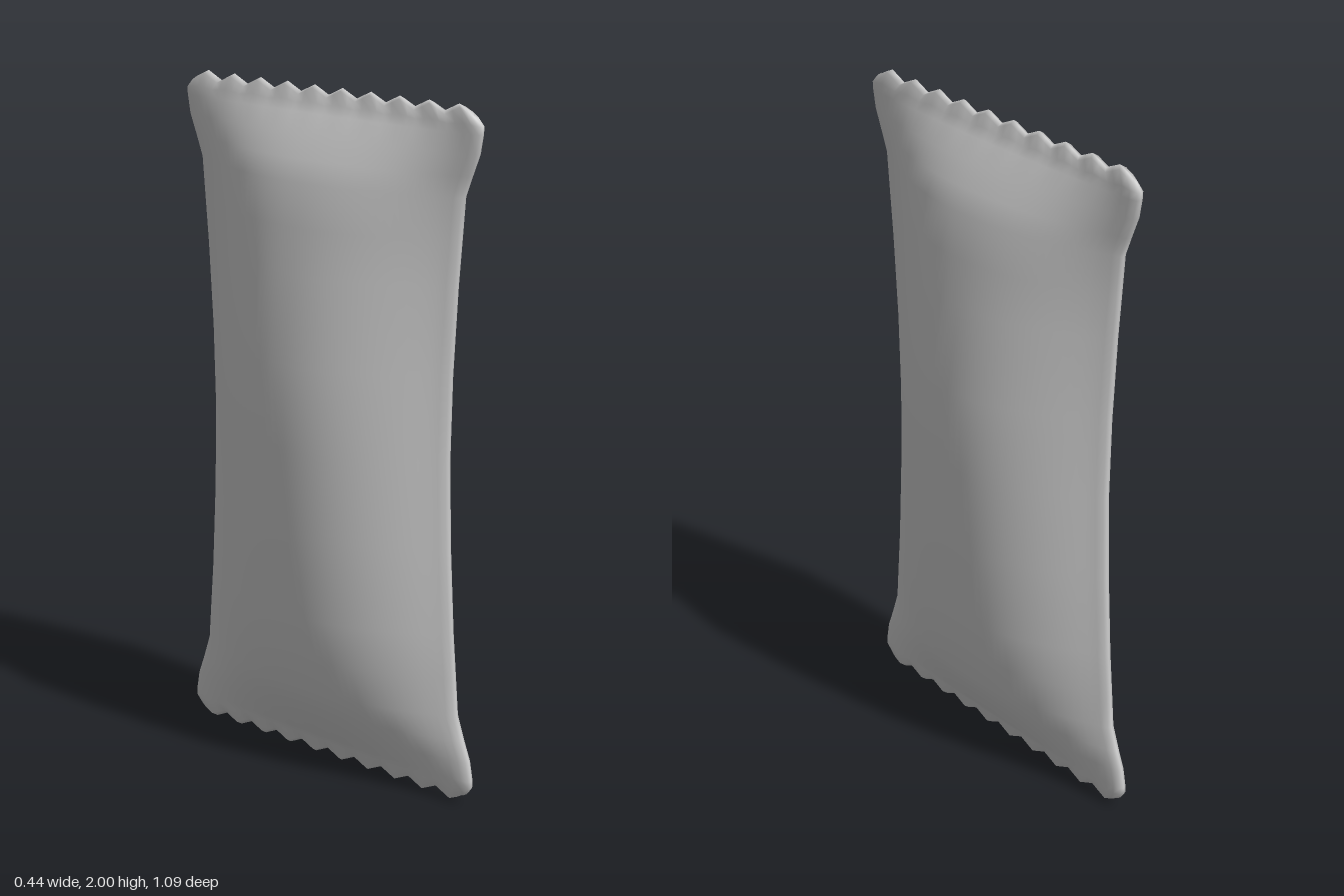
import * as THREE from 'three';
import { mergeVertices } from 'three/addons/utils/BufferGeometryUtils.js';

// Rows from bottom to top: [height, half width in z, belly depth, half thickness of the seam, tooth share]
const ROWS = [
  [0.012, 0.512, 0, 0, 1],
  [0.02, 0.525, 0, 0.012, 1],
  [0.05, 0.541, 0.002, 0.017, 0.3],
  [0.075, 0.541, 0.02, 0.017, 0],
  [0.13, 0.531, 0.056, 0.017, 0],
  [0.19, 0.508, 0.09, 0.017, 0],
  [0.26, 0.484, 0.122, 0.017, 0],
  [0.37, 0.475, 0.146, 0.017, 0],
  [0.5, 0.464, 0.168, 0.017, 0],
  [0.75, 0.45, 0.185, 0.017, 0],
  [1.0, 0.443, 0.197, 0.017, 0],
  [1.25, 0.449, 0.201, 0.017, 0],
  [1.5, 0.464, 0.165, 0.017, 0],
  [1.63, 0.475, 0.145, 0.017, 0],
  [1.75, 0.485, 0.122, 0.017, 0],
  [1.81, 0.508, 0.092, 0.017, 0],
  [1.87, 0.532, 0.058, 0.017, 0],
  [1.925, 0.542, 0.02, 0.017, 0],
  [1.95, 0.543, 0.002, 0.017, 0.3],
  [1.98, 0.525, 0, 0.012, 1],
  [1.988, 0.512, 0, 0, 1],
];
const TEETH = 10, TOOTH = 0.012;

// Columns across the width, with extra ones to round the side seams
const COLS = [-0.99, 0.99];
for (let i = 0; i <= TEETH * 4; i++) COLS.push(i / (TEETH * 2) - 1);
COLS.sort((a, b) => a - b);

// Belly curve across the width: full in the middle, flat at the seam
function belly(t) {
  const s = Math.min(1, Math.abs(t) / 0.97);
  return Math.pow(1 - Math.pow(s, 2.2), 1.15);
}

// Rounded edge of the side seam
function seam(t) {
  const s = Math.max(0, (Math.abs(t) - 0.96) / 0.04);
  return Math.sqrt(Math.max(0, 1 - s * s));
}

function pillowGeometry() {
  const positions = [], index = [];
  const n = COLS.length;
  for (const side of [1, -1]) {
    const start = positions.length / 3;
    for (const [y, halfWidth, depth, thick, share] of ROWS) {
      for (const t of COLS) {
        // Crimped teeth push the two end seams outward and inward
        const tooth = -Math.cos(t * Math.PI * TEETH) * TOOTH * share * Math.sign(y - 1);
        const x = side * (thick * seam(t) + depth * belly(t));
        positions.push(x, y + tooth, t * halfWidth);
      }
    }
    for (let r = 0; r < ROWS.length - 1; r++) {
      for (let c = 0; c < n - 1; c++) {
        const a = start + r * n + c, b = a + 1, d = a + n, e = d + 1;
        if (side > 0) index.push(a, d, b, b, d, e);
        else index.push(a, b, d, b, e, d);
      }
    }
  }
  const raw = new THREE.BufferGeometry();
  raw.setAttribute('position', new THREE.Float32BufferAttribute(positions, 3));
  raw.setIndex(index);
  // Weld both halves along the seam so the edge shades smoothly
  const geometry = mergeVertices(raw, 1e-5);
  geometry.computeVertexNormals();
  return geometry;
}

export function createModel() {
  const group = new THREE.Group();
  group.name = 'sealedPacket';
  const material = new THREE.MeshStandardMaterial({ color: 0xcccccc });
  const packet = new THREE.Mesh(pillowGeometry(), material);
  packet.name = 'wrapper';
  group.add(packet);
  return group;
}
